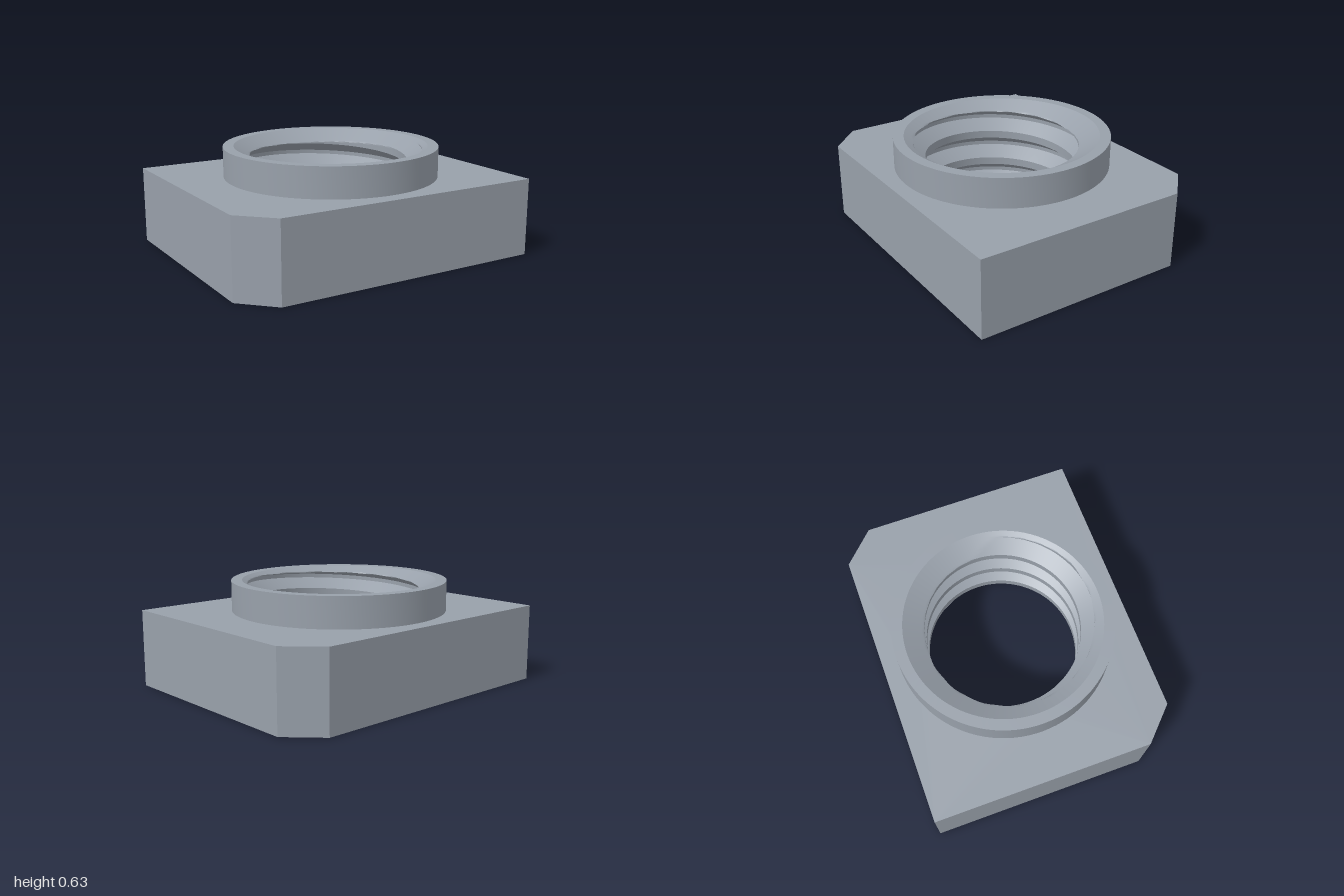
import * as THREE from 'three';
import { toCreasedNormals } from 'three/addons/utils/BufferGeometryUtils.js';

const SEG = 96;
const BLOCK_H = 0.457, TOTAL_H = 0.635;
const COLLAR_R = 0.633, MOUTH_R = 0.57, MINOR_R = 0.45, MAJOR_R = 0.538;
const CHAMFER = 0.068, PITCH = 0.185, STEPS = 32;

// Radius of the thread groove at a fraction of one pitch: crest, flank, root, flank
function threadRadius(f) {
  const depth = Math.min((f - 0.25) / 0.3125, 1, (1 - f) / 0.3125);
  return MINOR_R + (MAJOR_R - MINOR_R) * Math.max(0, depth);
}

// Right-handed helical bore, countersunk at both mouths
function boreGeometry() {
  const first = -2 * 66, last = 2 * 14, stride = last - first + 1;
  const pos = [], index = [];
  for (let i = 0; i <= SEG; i++) {
    const a = (i / SEG) * Math.PI * 2;
    for (let j = first; j <= last; j++) {
      const raw = TOTAL_H - CHAMFER + PITCH * (j / STEPS + i / SEG - 80 / 360);
      const y = THREE.MathUtils.clamp(raw, 0, TOTAL_H);
      const f = (((j % STEPS) + STEPS) % STEPS) / STEPS;
      const edge = Math.min(y, TOTAL_H - y);
      const cone = MOUTH_R - (MOUTH_R - MINOR_R) * edge / CHAMFER;
      const r = Math.max(threadRadius(f), cone);
      pos.push(r * Math.cos(a), y, -r * Math.sin(a));
    }
  }
  const y = k => pos[3 * k + 1];
  for (let i = 0; i < SEG; i++) {
    for (let j = 0; j < stride - 1; j++) {
      const a = i * stride + j, b = a + stride, c = b + 1, d = a + 1;
      // skip the collapsed faces beyond the two ends
      if (y(a) !== y(d)) index.push(a, d, b);
      if (y(b) !== y(c)) index.push(b, d, c);
    }
  }
  const g = new THREE.BufferGeometry();
  g.setAttribute('position', new THREE.Float32BufferAttribute(pos, 3));
  g.setIndex(index);
  return toCreasedNormals(g, 0.4);
}

export function createModel() {
  const group = new THREE.Group();
  group.name = 'squareNut';
  const steel = new THREE.MeshStandardMaterial({ color: 0x98a0aa });
  steel.name = 'steel grey';
  const add = (name, geometry) => {
    const mesh = new THREE.Mesh(geometry, steel);
    mesh.name = name;
    group.add(mesh);
  };

  // Block with two clipped opposite corners and a round hole
  const half = [[1, 0.345], [0.86, 0.56], [-0.735, 0.895]];
  const outline = [...half, ...half.map(([x, y]) => [-x, -y])];
  const shape = new THREE.Shape(outline.map(([x, y]) => new THREE.Vector2(x, y)));
  const hole = new THREE.Path();
  hole.absarc(0, 0, MOUTH_R, 0, Math.PI * 2, true);
  shape.holes.push(hole);
  const block = new THREE.ExtrudeGeometry(shape, { depth: BLOCK_H, bevelEnabled: false, curveSegments: SEG });
  block.rotateX(-Math.PI / 2);
  add('block', block);

  // Raised round collar with a flat rim
  const profile = [[COLLAR_R, BLOCK_H], [COLLAR_R, TOTAL_H], [MOUTH_R, TOTAL_H]];
  const collar = new THREE.LatheGeometry(profile.map(([x, y]) => new THREE.Vector2(x, y)), SEG);
  collar.rotateY(Math.PI / 2);
  add('collar', toCreasedNormals(collar, 0.5));

  add('threadedBore', boreGeometry());
  return group;
}
